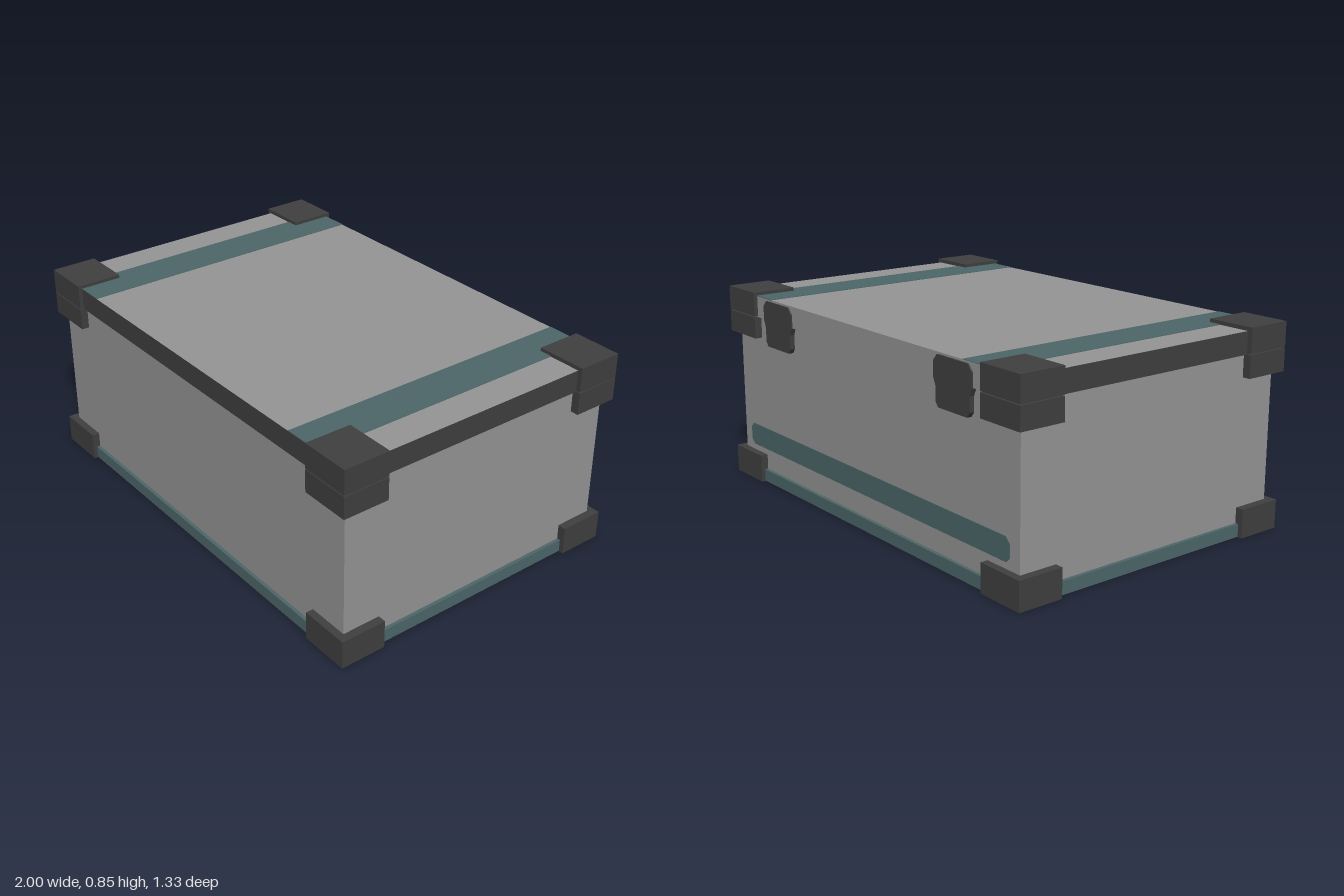
import * as THREE from 'three';

const mat = (name, color) => Object.assign(new THREE.MeshStandardMaterial({ color }), { name });

export function createModel() {
  const grey = mat('shell grey', 0x949494);
  const dark = mat('dark trim', 0x3f3f3f);
  const teal = mat('teal', 0x4c6668);

  const crate = new THREE.Group();
  crate.name = 'storageCrate';

  // Box given by its lower and upper corners
  const box = (name, material, [x0, y0, z0], [x1, y1, z1], parent = crate) => {
    const mesh = new THREE.Mesh(new THREE.BoxGeometry(x1 - x0, y1 - y0, z1 - z0), material);
    mesh.position.set((x0 + x1) / 2, (y0 + y1) / 2, (z0 + z1) / 2);
    mesh.name = name;
    parent.add(mesh);
    return mesh;
  };

  // Flat outline extruded backwards from the rear wall
  const rearPlate = (name, material, points, x, y, z, depth) => {
    const shape = new THREE.Shape(points.map(([px, py]) => new THREE.Vector2(px, py)));
    const geometry = new THREE.ExtrudeGeometry(shape, { depth, bevelEnabled: false });
    const mesh = new THREE.Mesh(geometry, material);
    mesh.position.set(x, y, z - depth);
    mesh.name = name;
    crate.add(mesh);
  };

  // Base tray, body and overhanging lid
  box('base', teal, [-0.98, 0.002, -0.65], [0.98, 0.055, 0.65]);
  box('body', grey, [-0.965, 0.05, -0.635], [0.965, 0.75, 0.635]);
  // Lid: dark rim on the front and sides, grey top and back
  box('lid', [dark, dark, grey, dark, dark, grey], [-0.98, 0.742, -0.65], [0.98, 0.834, 0.65]);

  for (const sx of [-1, 1]) {
    // Painted stripe across the lid
    const stripe = box('lidStripe', teal, [-0.0875, 0.833, -0.65], [0.0875, 0.836, 0.65]);
    stripe.position.x = sx * 0.752;

    // Rear hinge with a wide upper leaf and a narrower lower leaf
    rearPlate('hinge', dark, [
      [-0.085, -0.1], [0.085, -0.1], [0.1, -0.08], [0.1, -0.02], [0.113, 0.01], [0.113, 0.07],
      [0.09, 0.096], [-0.09, 0.096], [-0.113, 0.07], [-0.113, 0.01], [-0.1, -0.02], [-0.1, -0.08],
    ], sx * 0.61, 0.73, -0.63, 0.026);

    // Corner guards on the base, body rim and lid
    for (const sz of [-1, 1]) {
      const guards = new THREE.Group();
      guards.name = 'cornerGuards';
      crate.add(guards);
      for (const [name, y0, y1] of [['baseGuard', 0, 0.12], ['rimGuard', 0.65, 0.743], ['lidGuard', 0.747, 0.85]]) {
        const guard = box(name, dark, [-0.1075, y0, -0.0985], [0.1075, y1, 0.0985], guards);
        guard.position.x = sx * 0.8925;
        guard.position.z = sz * 0.5685;
      }
    }
  }

  // Painted band with clipped corners along the rear wall
  rearPlate('rearStripe', teal, [
    [-0.89, -0.048], [0.89, -0.048], [0.91, -0.028], [0.91, 0.028],
    [0.89, 0.048], [-0.89, 0.048], [-0.91, 0.028], [-0.91, -0.028],
  ], 0, 0.195, -0.634, 0.004);

  return crate;
}
